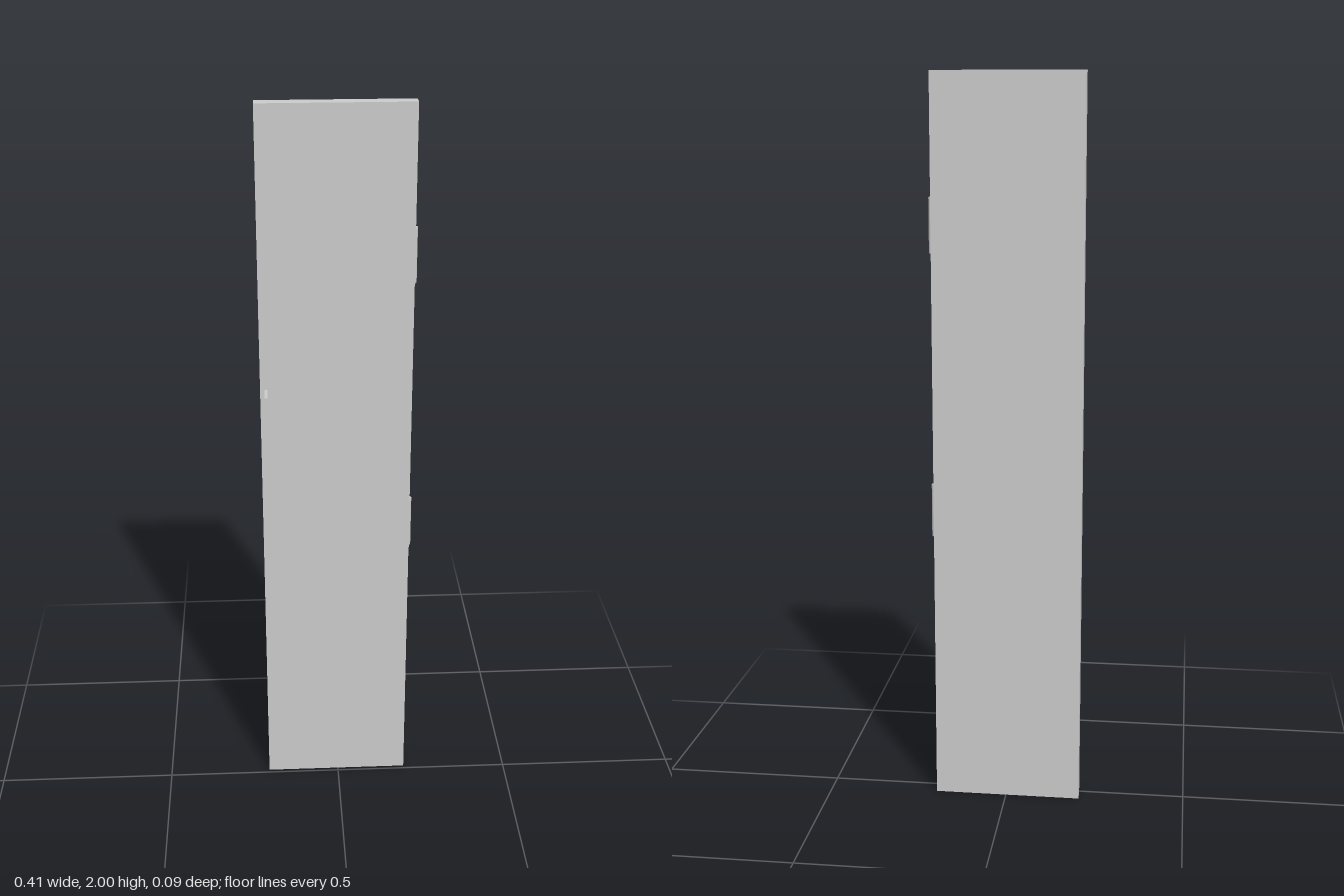
import * as THREE from 'three';

export function createModel() {
  const group = new THREE.Group();
  const material = new THREE.MeshStandardMaterial({ color: 0xcccccc });

  const add = (name, geometry, x, y, z, parent = group) => {
    const mesh = new THREE.Mesh(geometry, material);
    mesh.name = name;
    mesh.position.set(x, y, z);
    parent.add(mesh);
  };

  // Flat door slab
  add('doorPanel', new THREE.BoxGeometry(0.405, 2, 0.036), -0.004, 1, -0.029);

  // Two hinges on the model's left edge: a thin leaf and a half-sunk barrel
  for (const [name, y] of [['lowerHinge', 0.83], ['upperHinge', 1.605]]) {
    const hinge = new THREE.Group();
    hinge.name = name;
    hinge.position.y = y;
    group.add(hinge);
    add('hingeLeaf', new THREE.BoxGeometry(0.002, 0.147, 0.026), 0.199, 0, -0.027, hinge);
    add('hingeBarrel', new THREE.CylinderGeometry(0.008, 0.008, 0.147, 24), 0.1975, 0, -0.033, hinge);
  }

  // Square padlock tab with a round hole, standing out from the front face
  const half = 0.028;
  const tab = new THREE.Shape([
    new THREE.Vector2(-half, -half),
    new THREE.Vector2(half, -half),
    new THREE.Vector2(half, half),
    new THREE.Vector2(-half, half),
  ]);
  const hole = new THREE.Path();
  hole.absarc(0, 0, 0.01, 0, Math.PI * 2, true);
  tab.holes.push(hole);
  const tabGeometry = new THREE.ExtrudeGeometry(tab, { depth: 0.008, bevelEnabled: false, curveSegments: 24 });
  tabGeometry.rotateY(Math.PI / 2);
  add('lockTab', tabGeometry, -0.195, 1.217, 0.017);

  return group;
}
